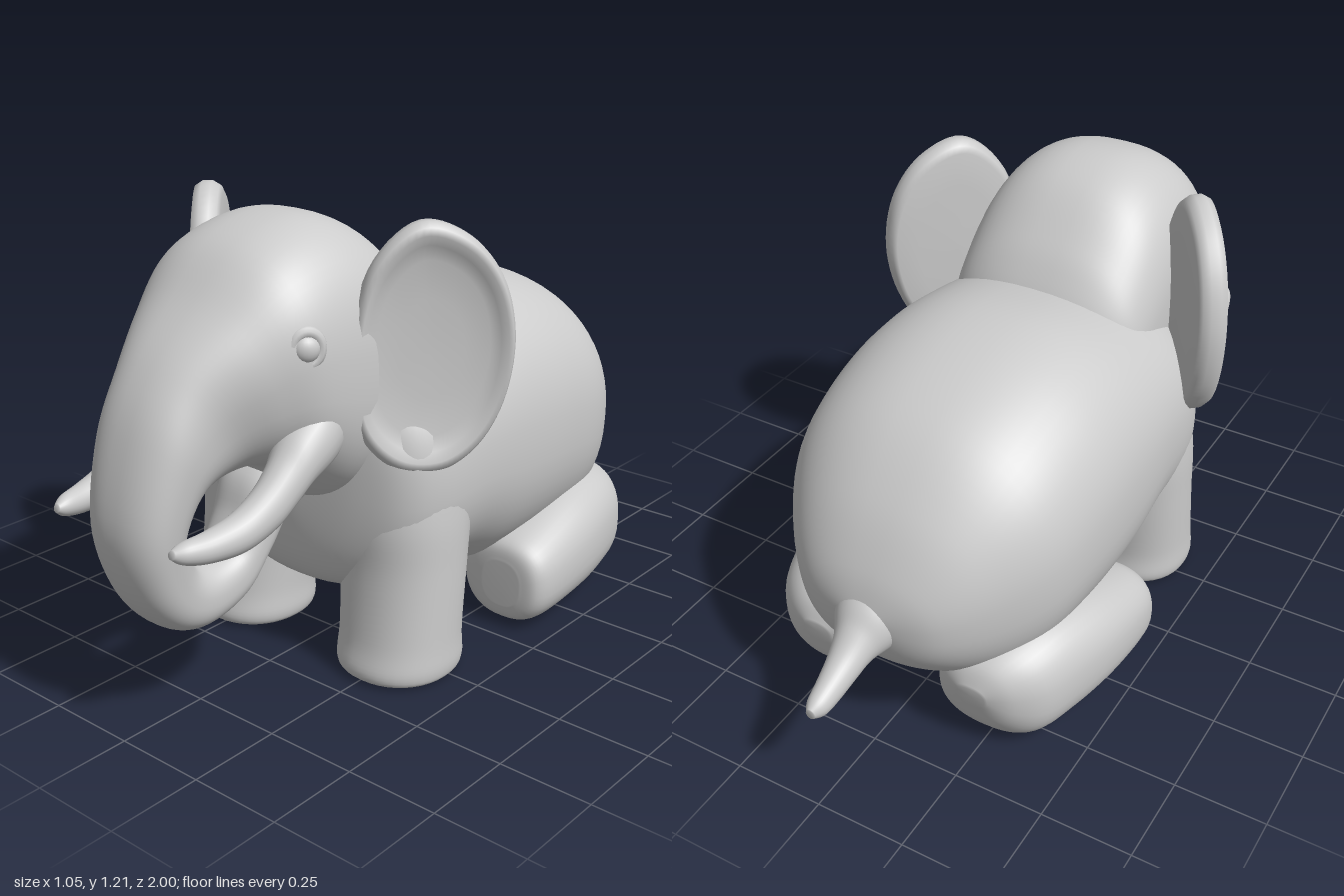
import * as THREE from 'three';

const material = new THREE.MeshStandardMaterial({ color: 0xcccccc, roughness: 0.8 });

// Closed skin over a list of rings (each an array of Vector3), facing outwards
function skin(rings) {
  const n = rings[0].length, pos = [], idx = [];
  for (const ring of rings) for (const p of ring) pos.push(p.x, p.y, p.z);
  for (let i = 0; i < rings.length - 1; i++) {
    for (let j = 0; j < n; j++) {
      const a = i * n + j, b = i * n + (j + 1) % n;
      idx.push(a, b, b + n, a, b + n, a + n);
    }
  }
  const last = (rings.length - 1) * n, centre = pos.length / 3;
  for (const ring of [rings[0], rings[rings.length - 1]]) {
    const c = new THREE.Vector3();
    ring.forEach((p) => c.addScaledVector(p, 1 / n));
    pos.push(c.x, c.y, c.z);
  }
  for (let j = 0; j < n; j++) {
    const k = (j + 1) % n;
    idx.push(centre, k, j, centre + 1, last + j, last + k);
  }
  // Turn the faces round if the enclosed volume is negative
  const v = (i) => new THREE.Vector3().fromArray(pos, i * 3);
  let volume = 0;
  for (let i = 0; i < idx.length; i += 3) volume += v(idx[i]).dot(v(idx[i + 1]).cross(v(idx[i + 2])));
  if (volume < 0) idx.reverse();
  const g = new THREE.BufferGeometry();
  g.setAttribute('position', new THREE.Float32BufferAttribute(pos, 3));
  g.setIndex(idx);
  g.computeVertexNormals();
  return g;
}

// Smooth curve through rows of numbers
function smooth(rows, t) {
  const i = Math.min(Math.floor(t), rows.length - 2), f = t - i;
  const at = (k) => rows[Math.max(0, Math.min(rows.length - 1, k))];
  return rows[i].map((_, c) => {
    const [a, b, d, e] = [at(i - 1)[c], at(i)[c], at(i + 1)[c], at(i + 2)[c]];
    return b + 0.5 * f * (d - a + f * (2 * a - 5 * b + 4 * d - e + f * (3 * (b - d) + e - a)));
  });
}

// Loft of rounded sections: [z, y of one edge, z, y of the opposite edge, half width, centre x]
function loft(sections, { power = 2, side = 1, segments = 48, steps = 6 } = {}) {
  const rings = [], total = (sections.length - 1) * steps;
  const round = (v) => Math.sign(v) * Math.abs(v) ** (2 / power);
  for (let s = 0; s <= total; s++) {
    const [z1, y1, z2, y2, w, cx = 0] = smooth(sections, s / steps);
    const ring = [];
    for (let j = 0; j < segments; j++) {
      const a = (j / segments) * Math.PI * 2, c = round(Math.cos(a)), d = round(Math.sin(a));
      ring.push(new THREE.Vector3(
        side * (cx + w * d),
        (y1 + y2) / 2 + c * (y1 - y2) / 2,
        (z1 + z2) / 2 + c * (z1 - z2) / 2));
    }
    rings.push(ring);
  }
  return skin(rings);
}

// Dished ear with a thick rounded rim, set in a plane swept outwards and back
function earGeometry(side) {
  const outline = new THREE.CatmullRomCurve3([
    [0.17, 1.212], [0.29, 1.175], [0.375, 1.075], [0.41, 0.92], [0.38, 0.75], [0.31, 0.64],
    [0.22, 0.588], [0.11, 0.6], [0.02, 0.69], [-0.005, 0.88], [0.05, 1.11],
  ].map(([u, v]) => new THREE.Vector3(u, v, 0)), true).getPoints(72).slice(0, 72);
  const profile = [[0.05, 0], [0.4, 0.001], [0.7, 0.008], [0.82, 0.02], [0.9, 0.034], [0.96, 0.031],
    [1, 0.012], [1, -0.014], [0.96, -0.034], [0.9, -0.042], [0.6, -0.046], [0.05, -0.048]];
  return skin(profile.map(([r, n]) => outline.map((p) => {
    const u = 0.2 + (p.x - 0.2) * r, v = 0.9 + (p.y - 0.9) * r;
    return new THREE.Vector3(side * (0.254 + 0.62 * u + 0.75 * n), v, 0.45 - 0.75 * u + 0.66 * n);
  })));
}

export function createModel() {
  const model = new THREE.Group();
  model.name = 'elephant';
  const add = (name, geometry, parent = model) => {
    const mesh = new THREE.Mesh(geometry, material);
    mesh.name = name;
    parent.add(mesh);
    return mesh;
  };

  // Rounded body, chest to rump
  add('body', loft([
    [0.44, 0.7, 0.44, 0.43, 0.06], [0.42, 0.8, 0.42, 0.29, 0.23], [0.375, 0.86, 0.375, 0.215, 0.355],
    [0.28, 0.9, 0.28, 0.19, 0.415], [0.1, 0.945, 0.1, 0.18, 0.43], [-0.1, 0.975, -0.05, 0.13, 0.435],
    [-0.3, 0.95, -0.25, 0.125, 0.43], [-0.5, 0.87, -0.45, 0.13, 0.395], [-0.65, 0.73, -0.6, 0.18, 0.305],
    [-0.74, 0.58, -0.72, 0.285, 0.19], [-0.775, 0.47, -0.765, 0.4, 0.05],
  ], { power: 2.3, segments: 64 }));

  // Head running on into the trunk, which curls back to the chest
  add('headAndTrunk', loft([
    [0.05, 0.88, 0.12, 0.55, 0.22], [0.1, 0.97, 0.18, 0.5, 0.28], [0.17, 1.06, 0.23, 0.49, 0.295],
    [0.3, 1.175, 0.32, 0.48, 0.3], [0.45, 1.212, 0.42, 0.47, 0.3], [0.62, 1.165, 0.53, 0.55, 0.285],
    [0.75, 1.045, 0.6, 0.61, 0.235], [0.87, 0.92, 0.68, 0.62, 0.17], [0.95, 0.77, 0.78, 0.6, 0.147],
    [1, 0.55, 0.83, 0.52, 0.125], [0.965, 0.38, 0.81, 0.45, 0.107], [0.88, 0.27, 0.78, 0.405, 0.095],
    [0.77, 0.23, 0.73, 0.39, 0.09], [0.64, 0.265, 0.66, 0.41, 0.09], [0.55, 0.36, 0.62, 0.47, 0.095],
    [0.48, 0.44, 0.58, 0.57, 0.1], [0.4, 0.46, 0.47, 0.66, 0.1],
  ], { power: 2.45, segments: 64 }));

  // Short tail, flared at the root
  add('tail', loft([
    [-0.68, 0.56, -0.68, 0.33, 0.12], [-0.765, 0.505, -0.755, 0.335, 0.085], [-0.81, 0.455, -0.8, 0.33, 0.058],
    [-0.86, 0.41, -0.85, 0.314, 0.045], [-0.92, 0.375, -0.91, 0.297, 0.036], [-0.97, 0.352, -0.96, 0.291, 0.028],
    [-0.995, 0.335, -0.992, 0.305, 0.012],
  ], { segments: 32 }));

  for (const side of [1, -1]) {
    const prefix = side > 0 ? 'left' : 'right';
    const opts = { side, segments: 40 };

    add(prefix + 'Ear', earGeometry(side));

    // Straight front leg with a rounded foot
    add(prefix + 'FrontLeg', loft([
      [0.36, 0.005, 0.2, 0.005, 0.08, 0.265], [0.42, 0.008, 0.14, 0.008, 0.14, 0.265],
      [0.442, 0.035, 0.115, 0.035, 0.16, 0.263], [0.425, 0.12, 0.12, 0.12, 0.16, 0.262],
      [0.405, 0.3, 0.1, 0.3, 0.167, 0.255], [0.4, 0.45, 0.08, 0.45, 0.175, 0.245],
      [0.36, 0.6, 0.08, 0.6, 0.15, 0.25], [0.3, 0.72, 0.1, 0.72, 0.1, 0.25],
    ], { ...opts, power: 2.15 }));

    // Folded hind leg lying along the flank
    add(prefix + 'HindLeg', loft([
      [-0.045, 0.2, -0.045, 0.07, 0.06, 0.355], [-0.06, 0.25, -0.06, 0.03, 0.115, 0.35],
      [-0.13, 0.285, -0.12, 0.012, 0.15, 0.337], [-0.3, 0.335, -0.3, 0.012, 0.165, 0.318],
      [-0.45, 0.35, -0.45, 0.012, 0.17, 0.285], [-0.56, 0.33, -0.56, 0.02, 0.155, 0.26],
      [-0.63, 0.29, -0.62, 0.08, 0.11, 0.24], [-0.66, 0.23, -0.65, 0.17, 0.04, 0.24],
    ], { ...opts, power: 2.4 }));

    // Tapered tusk growing from the cheek and curving forwards
    add(prefix + 'Tusk', loft([
      [0.45, 0.84, 0.43, 0.66, 0.05, 0.2], [0.55, 0.81, 0.53, 0.63, 0.075, 0.215],
      [0.63, 0.755, 0.61, 0.605, 0.07, 0.225], [0.69, 0.695, 0.66, 0.575, 0.055, 0.235],
      [0.75, 0.645, 0.73, 0.535, 0.048, 0.238],
      [0.82, 0.605, 0.82, 0.51, 0.044, 0.232], [0.9, 0.585, 0.91, 0.512, 0.036, 0.22],
      [0.96, 0.578, 0.97, 0.526, 0.026, 0.208], [0.992, 0.565, 0.996, 0.545, 0.01, 0.2],
    ], { ...opts, segments: 24 }));

    // Eye with a soft lid around it
    const eye = new THREE.Group();
    eye.name = prefix + 'Eye';
    eye.position.set(side * 0.258, 0.95, 0.61);
    eye.rotation.y = side * 1.05;
    const ball = add('eyeball', new THREE.SphereGeometry(0.034, 20, 14), eye);
    ball.scale.set(1, 1, 0.75);
    const lid = add('eyelid', new THREE.TorusGeometry(0.036, 0.014, 10, 28), eye);
    lid.scale.set(1, 1.1, 1);
    model.add(eye);
  }
  return model;
}
